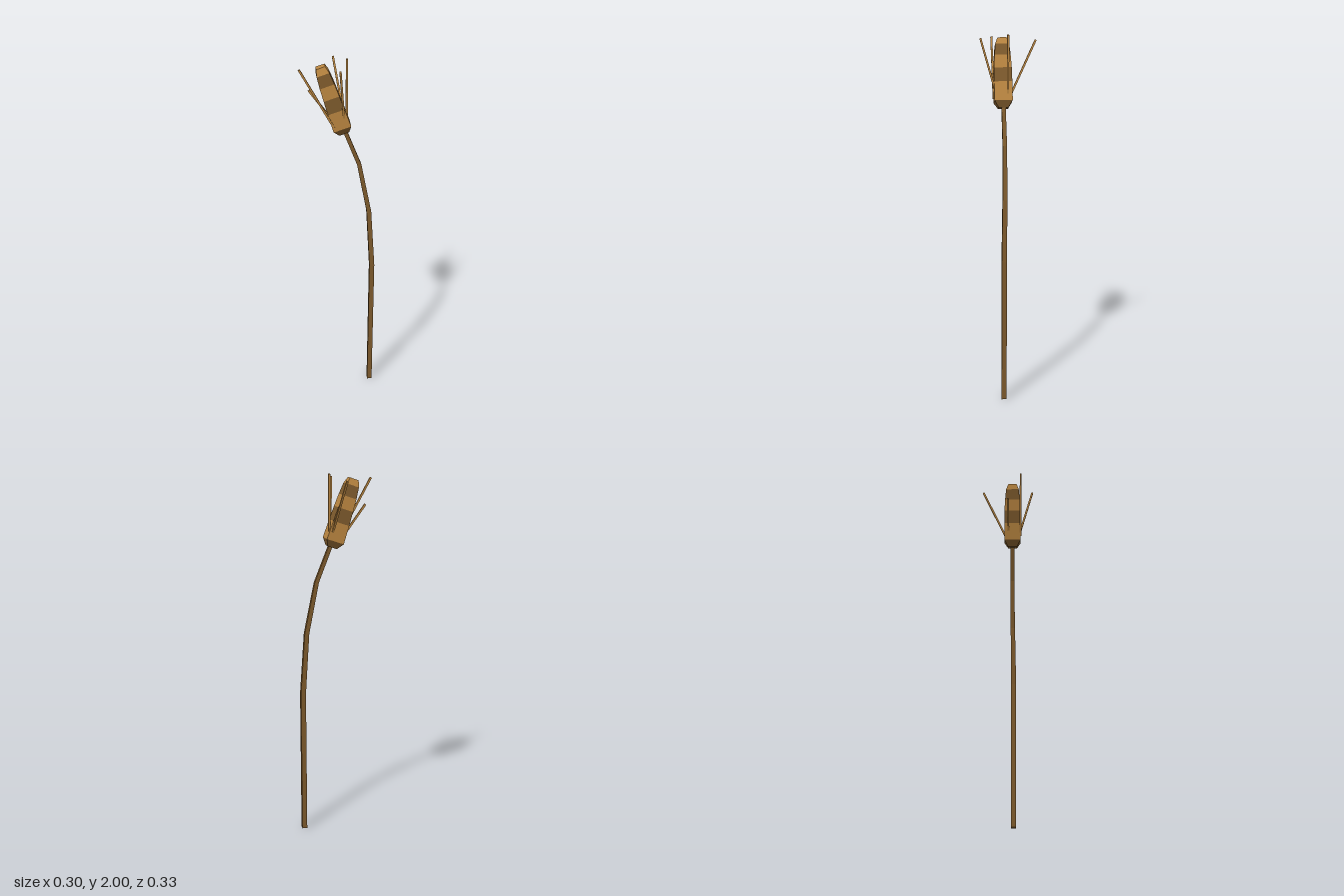
import * as THREE from 'three';

const light = new THREE.MeshStandardMaterial({ color: 0xb98540, flatShading: true });
const dark = new THREE.MeshStandardMaterial({ color: 0x7d5a2c, flatShading: true });

// Closed four-sided solid through rings of [x, y, z, halfWidth, halfDepth], bottom to top
function loft(rings) {
  const pos = [];
  const corners = rings.map(([x, y, z, w, d]) =>
    [[-w, d], [w, d], [w, -d], [-w, -d]].map(([a, b]) => [x + a, y, z + b]));
  const quad = (a, b, c, d) => pos.push(...a, ...b, ...c, ...a, ...c, ...d);
  for (let i = 0; i < corners.length - 1; i++) {
    for (let k = 0; k < 4; k++) {
      const n = (k + 1) % 4;
      quad(corners[i][k], corners[i][n], corners[i + 1][n], corners[i + 1][k]);
    }
  }
  const [b, t] = [corners[0], corners[corners.length - 1]];
  quad(b[3], b[2], b[1], b[0]);
  quad(t[0], t[1], t[2], t[3]);
  const geo = new THREE.BufferGeometry();
  geo.setAttribute('position', new THREE.Float32BufferAttribute(pos, 3));
  geo.computeVertexNormals();
  return geo;
}

function add(parent, name, geo, material) {
  const mesh = new THREE.Mesh(geo, material);
  mesh.name = name;
  parent.add(mesh);
  return mesh;
}

// Thin square rod between two points
function rod(parent, name, from, to, size) {
  const a = new THREE.Vector3(...from), b = new THREE.Vector3(...to);
  const dir = b.clone().sub(a);
  const mesh = add(parent, name, new THREE.BoxGeometry(size, dir.length(), size), light);
  mesh.position.copy(a).add(b).multiplyScalar(0.5);
  const turn = new THREE.Quaternion().setFromAxisAngle(new THREE.Vector3(0, 1, 0), -Math.PI / 4);
  mesh.quaternion.setFromUnitVectors(new THREE.Vector3(0, 1, 0), dir.normalize()).multiply(turn);
}

export function createModel() {
  const model = new THREE.Group();
  model.name = 'grainStalk';

  // Everything but the bristles bends along one diagonal
  const plant = new THREE.Group();
  plant.name = 'stalkAndEar';
  plant.rotation.y = -Math.PI / 4;
  model.add(plant);

  // Bent stalk
  add(plant, 'stalk', loft([
    [-0.013, 0, -0.194, 0.0138, 0.0138],
    [-0.013, 0.81, -0.194, 0.0138, 0.0138],
    [-0.018, 1.15, -0.172, 0.0125, 0.0125],
    [-0.021, 1.43, -0.116, 0.0115, 0.0115],
    [-0.02, 1.63, -0.036, 0.011, 0.011],
  ]), dark);

  // Leaning ear made of alternating bands
  const ear = new THREE.Group();
  ear.name = 'ear';
  ear.position.set(-0.019, 1.65, -0.022);
  ear.rotation.x = 0.325;
  plant.add(ear);
  const ring = (y, w, d = w) => [0, y, 0, w, d];
  const bands = [
    ['earBase', dark, [ring(-0.036, 0.026), ring(0, 0.048)]],
    ['bandLower', light, [ring(0, 0.048), ring(0.1, 0.048, 0.045)]],
    ['bandLowerMiddle', dark, [ring(0.1, 0.048, 0.045), ring(0.175, 0.047, 0.042)]],
    ['bandUpperMiddle', light, [ring(0.175, 0.047, 0.042), ring(0.243, 0.043, 0.039)]],
    ['bandUpper', dark, [ring(0.243, 0.043, 0.039), ring(0.305, 0.037, 0.034)]],
    ['earTip', light, [ring(0.305, 0.037, 0.034), ring(0.34, 0.024)]],
  ];
  for (const [name, material, rings] of bands) add(ear, name, loft(rings), material);

  // Bristles spreading around the ear
  const bristles = [
    [[-0.02, 1.7, -0.07], [-0.143, 1.97, -0.13]],
    [[-0.045, 1.67, -0.015], [-0.135, 1.84, 0.071]],
    [[0.005, 1.66, 0.035], [-0.118, 1.974, 0.16]],
    [[0.035, 1.69, -0.01], [0.074, 1.98, 0.067]],
    [[0.005, 1.68, -0.066], [0.005, 2.0, -0.066]],
  ];
  bristles.forEach(([from, to], i) => rod(model, `bristle${i + 1}`, from, to, 0.0105));

  return model;
}
